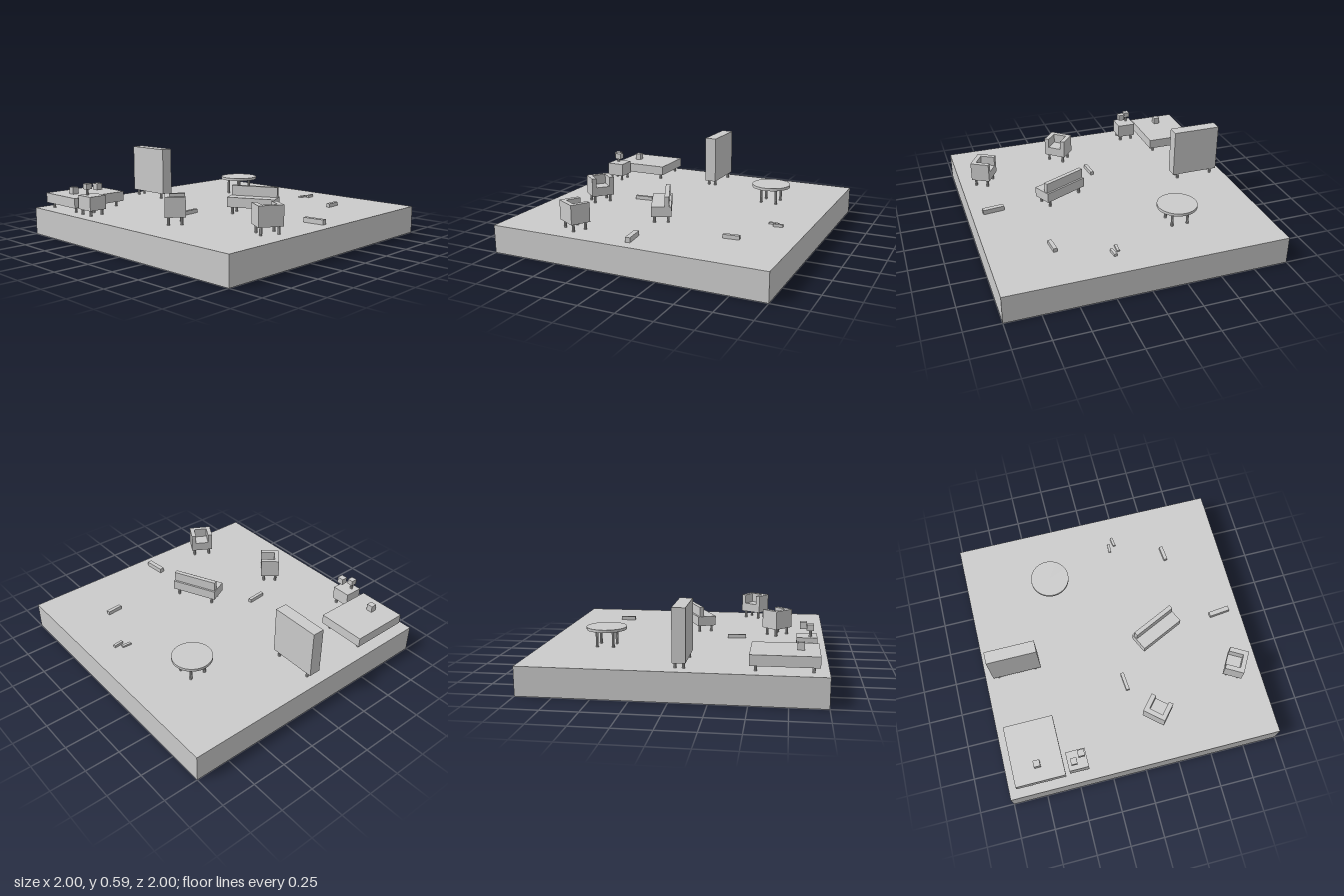
import * as THREE from 'three';

const FLOOR = 0.2;
const material = new THREE.MeshStandardMaterial({ color: 0xcccccc, flatShading: true });

// Box given by its centre in x and z, and its bottom height
function box(parent, name, w, h, d, x, y, z) {
  const mesh = new THREE.Mesh(new THREE.BoxGeometry(w, h, d), material);
  mesh.name = name;
  mesh.position.set(x, y + h / 2, z);
  parent.add(mesh);
  return mesh;
}

function post(parent, name, r, h, x, y, z, sides = 8) {
  const mesh = new THREE.Mesh(new THREE.CylinderGeometry(r, r, h, sides), material);
  mesh.name = name;
  mesh.position.set(x, y + h / 2, z);
  parent.add(mesh);
  return mesh;
}

// Four legs mirrored about the centre of the piece
function legs(parent, dx, dz, h) {
  for (const sx of [-1, 1]) for (const sz of [-1, 1]) post(parent, 'leg', 0.01, h, sx * dx, 0, sz * dz);
}

// Group standing on the floor
function piece(parent, name, x, z, angle = 0) {
  const g = new THREE.Group();
  g.name = name;
  g.position.set(x, FLOOR, z);
  g.rotation.y = THREE.MathUtils.degToRad(angle);
  parent.add(g);
  return g;
}

function armchair(parent, x, z, angle) {
  const g = piece(parent, 'armchair', x, z, angle);
  legs(g, 0.06, 0.045, 0.055);
  box(g, 'seat', 0.102, 0.067, 0.106, 0, 0.055, 0.017);
  box(g, 'backrest', 0.17, 0.138, 0.034, 0, 0.055, -0.053);
  for (const s of [-1, 1]) box(g, 'armrest', 0.034, 0.138, 0.106, s * 0.068, 0.055, 0.017);
}

export function createModel() {
  const model = new THREE.Group();
  model.name = 'furnishedFloor';
  box(model, 'floorSlab', 2, FLOOR, 2, 0, 0, 0);

  // Bed with a small cube on it
  const bed = piece(model, 'bed', -0.76, 0.72);
  legs(bed, 0.138, 0.18, 0.04);
  box(bed, 'mattress', 0.36, 0.072, 0.44, 0, 0.04, 0);
  box(bed, 'bedCube', 0.046, 0.05, 0.046, 0, 0.112, 0.1);

  // Nightstand with a stalk and two small cubes
  const stand = piece(model, 'nightstand', -0.48, 0.86);
  legs(stand, 0.048, 0.048, 0.04);
  box(stand, 'cabinet', 0.14, 0.1, 0.136, 0, 0.04, 0);
  post(stand, 'stalk', 0.01, 0.045, -0.024, 0.14, 0.022);
  box(stand, 'frontCube', 0.044, 0.04, 0.046, -0.024, 0.183, 0.02);
  box(stand, 'rearCube', 0.048, 0.046, 0.046, 0.037, 0.181, -0.023);

  // Wardrobe
  const wardrobe = piece(model, 'wardrobe', -0.76, 0.06);
  legs(wardrobe, 0.138, 0.027, 0.04);
  box(wardrobe, 'cabinet', 0.36, 0.355, 0.088, 0, 0.04, 0);

  // Round table
  const table = piece(model, 'roundTable', -0.36, -0.54);
  legs(table, 0.058, 0.058, 0.121);
  post(table, 'tableTop', 0.143, 0.02, 0, 0.12, 0, 32);

  // Sofa
  const sofa = piece(model, 'sofa', 0.325, 0.043, 25);
  legs(sofa, 0.14, 0.048, 0.05);
  box(sofa, 'seat', 0.352, 0.072, 0.14, 0, 0.05, 0);
  box(sofa, 'backrest', 0.34, 0.073, 0.032, 0, 0.121, -0.04);

  armchair(model, 0.166, 0.652, 139);
  armchair(model, 0.815, 0.455, -120);

  // Small blocks lying on the floor: width, height, length, x, z, angle
  const blocks = [
    [0.025, 0.027, 0.135, 0, 0.36, 5],
    [0.035, 0.034, 0.155, 0.84, 0, 96],
    [0.027, 0.027, 0.114, 0.56, -0.585, 5],
    [0.02, 0.012, 0.068, 0.158, -0.74, -5],
    [0.02, 0.019, 0.07, 0.198, -0.784, 7],
  ];
  for (const [w, h, d, x, z, a] of blocks) {
    box(piece(model, 'floorBlock', x, z, a), 'block', w, h, d, 0, 0, 0);
  }
  return model;
}
